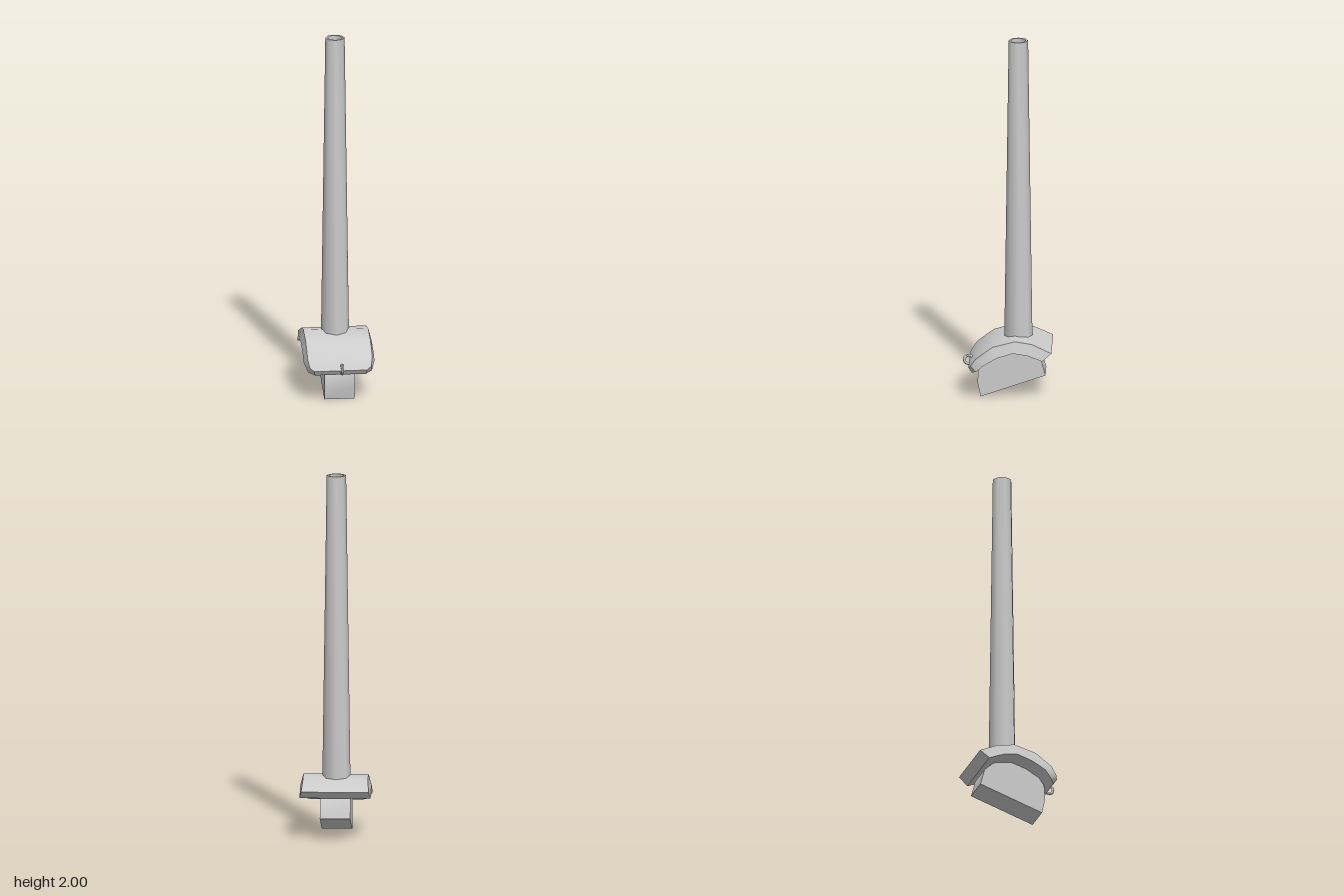
import * as THREE from 'three';
import { toCreasedNormals } from 'three/addons/utils/BufferGeometryUtils.js';

const grey = () => new THREE.MeshStandardMaterial({ color: 0xcccccc, side: THREE.DoubleSide });

function addPart(group, name, geometry, crease) {
  const mesh = new THREE.Mesh(toCreasedNormals(geometry, crease), grey());
  mesh.name = name;
  group.add(mesh);
  return mesh;
}

// Skins a row of four-cornered sections running from back to front
function skinSections(sections) {
  const positions = [], index = [];
  for (const [zt, yt, wt, zb, yb, wb] of sections) {
    positions.push(-wt, yt, zt, wt, yt, zt, wb, yb, zb, -wb, yb, zb);
  }
  for (let i = 0; i < sections.length - 1; i++) {
    for (let j = 0; j < 4; j++) {
      const a = i * 4 + j, b = i * 4 + (j + 1) % 4;
      index.push(a, a + 4, b + 4, a, b + 4, b);
    }
  }
  const e = (sections.length - 1) * 4;
  index.push(0, 1, 2, 0, 2, 3, e, e + 2, e + 1, e, e + 3, e + 2);
  const geometry = new THREE.BufferGeometry();
  geometry.setAttribute('position', new THREE.Float32BufferAttribute(positions, 3));
  geometry.setIndex(index);
  return geometry;
}

export function createModel() {
  const model = new THREE.Group();

  // Hollow, tapered eight-sided tube with a flat rim
  const tube = new THREE.LatheGeometry([
    [0, 0.29], [0.077, 0.29], [0.053, 2], [0.042, 2], [0.042, 0.34], [0, 0.33],
  ].map(([r, y]) => new THREE.Vector2(r, y)), 8);
  addPart(model, 'tube', tube, 0.9).position.set(-0.003, 0, -0.06);

  // Arched plate; each row: top z, y, half width, then underside z, y, half width
  const plate = skinSections([
    [-0.245, 0.276, 0.184, -0.195, 0.233, 0.194],
    [-0.14, 0.324, 0.177, -0.114, 0.265, 0.194],
    [-0.045, 0.34, 0.177, -0.034, 0.277, 0.194],
    [0.077, 0.307, 0.177, 0.05, 0.25, 0.194],
    [0.167, 0.24, 0.177, 0.125, 0.207, 0.194],
    [0.197, 0.197, 0.168, 0.167, 0.165, 0.175],
    [0.208, 0.18, 0.145, 0.19, 0.153, 0.14],
  ]);
  addPart(model, 'archedPlate', plate, 0.6);

  // Support block: a rounded side profile (z, y) with a sloping base
  const profile = [
    [0.143, 0], [0.161, 0.08], [0.155, 0.165], [0.125, 0.207], [0.05, 0.252],
    [-0.034, 0.278], [-0.125, 0.268], [-0.186, 0.212], [-0.21, 0.122],
  ];
  const shape = new THREE.Shape(profile.map(([z, y]) => new THREE.Vector2(-z, y)));
  const block = new THREE.ExtrudeGeometry(shape, { depth: 0.166, bevelEnabled: false });
  block.translate(0, 0, -0.083).rotateY(Math.PI / 2);
  addPart(model, 'supportBlock', block, 0.6);

  // Small ring on the front lip
  const ring = new THREE.TorusGeometry(0.024, 0.008, 6, 12).rotateY(Math.PI / 2);
  addPart(model, 'frontRing', ring, 1.1).position.set(0.007, 0.187, 0.211);

  return model;
}
